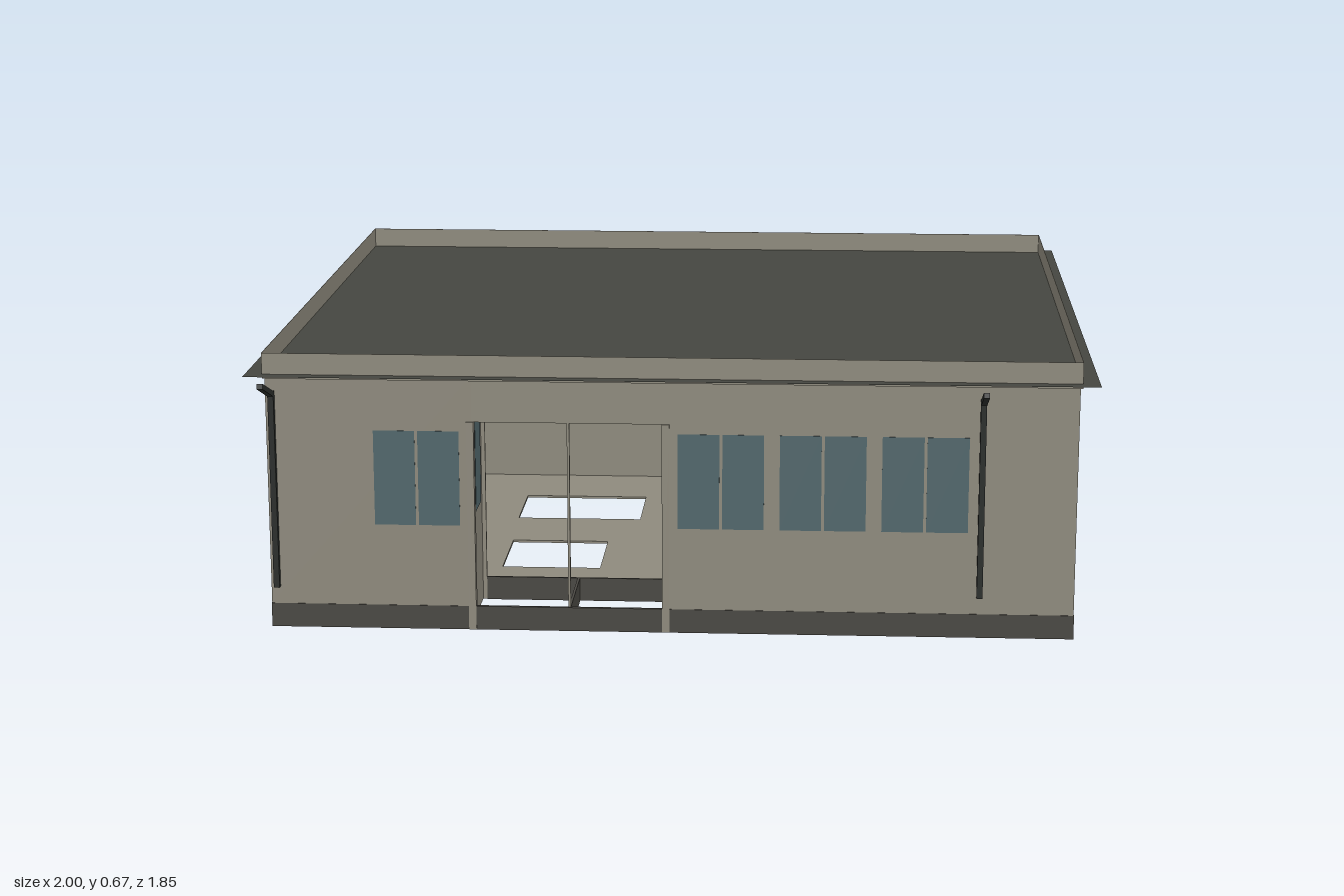
import * as THREE from 'three';

const mat = (name, color) => Object.assign(new THREE.MeshStandardMaterial({ color }), { name });

export function createModel() {
  const model = new THREE.Group();
  model.name = 'building';
  const wall = mat('stone wall', 0x8e8a7d);
  const plinthMat = mat('dark plinth', 0x4a4843);
  const roofMat = mat('slate roof', 0x454640);
  const glass = mat('window glass', 0x52676c);
  const metal = mat('dark metal', 0x2b2e2c);
  roofMat.side = THREE.DoubleSide;

  // box given by its limits
  const box = (name, m, x0, x1, y0, y1, z0, z1, parent = model) => {
    const mesh = new THREE.Mesh(new THREE.BoxGeometry(x1 - x0, y1 - y0, z1 - z0), m);
    mesh.position.set((x0 + x1) / 2, (y0 + y1) / 2, (z0 + z1) / 2);
    mesh.name = name;
    parent.add(mesh);
    return mesh;
  };

  const X = 0.955, ZF = 0.792, ZB = -0.885, T = 0.006;
  const BASE = 0.058, TOP = 0.62;
  const DOOR = [-0.467, -0.015], DOOR_TOP = 0.51;
  const xGroups = [-0.6, -0.36, -0.12, 0.12, 0.36, 0.6];
  const zGroups = [-0.525, -0.284, -0.043, 0.198, 0.437];

  // wall across x, optionally with the entrance cut out
  const wallX = (name, x0, x1, z, y0, door) => {
    if (!door) return box(name, wall, x0, x1, y0, TOP, z - T / 2, z + T / 2);
    box(name, wall, x0, DOOR[0], y0, TOP, z - T / 2, z + T / 2);
    box(name, wall, DOOR[1], x1, y0, TOP, z - T / 2, z + T / 2);
    box(name + 'Lintel', wall, DOOR[0], DOOR[1], DOOR_TOP, TOP, z - T / 2, z + T / 2);
  };
  const wallZ = (name, x, y0, z0, z1) => box(name, wall, x - T / 2, x + T / 2, y0, TOP, z0, z1);

  // pair of panes, visible from both sides of its wall
  const panes = (c, at, alongX) => {
    for (const s of [-1, 1]) {
      const m = c + s * 0.0525, h = 0.049, d = 0.0038;
      if (alongX) box('window', glass, m - h, m + h, 0.257, 0.487, at - d, at + d);
      else box('window', glass, at - d, at + d, 0.257, 0.487, m - h, m + h);
    }
  };

  // outer walls
  wallX('frontWall', -X, X, ZF - T / 2, BASE, true);
  wallX('backWall', -X, X, ZB + T / 2, BASE, false);
  for (const s of [-1, 1]) wallZ('sideWall', s * (X - T / 2), BASE, ZB, ZF);

  // plinth
  const P = 0.001;
  box('plinth', plinthMat, -X - P, X + P, 0, BASE, ZF - 0.008, ZF + P);
  box('plinth', plinthMat, -X - P, X + P, 0, BASE, ZB - P, ZB + 0.008);
  for (const s of [-1, 1]) {
    const x = s * (X - 0.0035);
    box('plinth', plinthMat, x - 0.0045, x + 0.0045, 0, BASE, ZB, ZF);
  }

  // inner walls around the hall
  const IX = 0.705, IF = 0.545, IB = -0.64;
  wallX('innerFrontWall', -X + T, X - T, IF, 0.002, true);
  wallX('innerBackWall', -X + T, X - T, IB, 0.002, false);
  for (const s of [-1, 1]) wallZ('innerSideWall', s * IX, 0.002, ZB + T, ZF - T);

  // partitions between the outer rooms
  for (const x of [-0.48, -0.24, 0, 0.24, 0.48]) {
    wallZ('partition', x, 0.002, ZB + T, IB);
    if (x !== -0.24) wallZ('partition', x, 0.002, IF, ZF - T);
  }
  for (const z of [-0.405, -0.163, 0.078, 0.318]) {
    wallX('partition', IX, X - T, z, 0.002, false);
    wallX('partition', -X + T, -IX, z, 0.002, false);
  }

  // windows
  for (const x of xGroups) {
    const inDoor = x > DOOR[0] && x < DOOR[1];
    if (!inDoor) {
      panes(x, ZF - T / 2, true);
      panes(x, IF, true);
    }
    panes(x, ZB + T / 2, true);
    panes(x, IB, true);
  }
  for (const z of zGroups) for (const s of [-1, 1]) {
    panes(z, s * (X - T / 2), false);
    panes(z, s * IX, false);
  }
  // windows beside the entrance lobby
  for (const x of [-0.48, 0]) panes((IF + ZF) / 2, x, false);

  // thin sills, lintels and mullions of the framed windows
  const ledges = [0.247, 0.496];
  for (const c of [-0.48, 0.48]) {
    for (const y of ledges) box('windowLedge', wall, c - 0.235, c + 0.235, y, y + 0.001, ZB - 0.01, ZB);
    for (const d of [-0.12, 0])
      box('mullion', metal, c + d - 0.001, c + d + 0.001, 0.257, 0.487, ZB - 0.004, ZB);
  }
  for (const s of [-1, 1]) {
    const c = zGroups[2], x = s * (X + 0.0025);
    for (const y of ledges) box('windowLedge', wall, x - 0.0025, x + 0.0025, y, y + 0.001, c - 0.11, c + 0.11);
    box('mullion', metal, x - 0.002, x + 0.002, 0.257, 0.487, c - 0.001, c + 0.001);
  }

  // entrance posts and lobby floor beams
  for (const x of [-0.472, -0.01]) box('doorPost', wall, x - 0.009, x + 0.009, 0, DOOR_TOP, ZF - 0.02, ZF + 0.002);
  box('middlePost', wall, -0.243, -0.237, BASE, DOOR_TOP, ZF - 0.012, ZF - 0.003);
  box('floorBeam', plinthMat, -0.243, -0.237, 0, BASE, IF, ZF - 0.008);
  box('floorBeam', plinthMat, DOOR[0], DOOR[1], 0, BASE, IF - 0.003, IF + 0.003);

  // hall floor with openings
  const rect = (S, x0, x1, z0, z1) => {
    const s = new S();
    s.moveTo(x0, z0).lineTo(x1, z0).lineTo(x1, z1).lineTo(x0, z1).closePath();
    return s;
  };
  const floorShape = rect(THREE.Shape, -IX, IX, IB, IF);
  floorShape.holes.push(
    rect(THREE.Path, -0.03, 0.47, -0.4, -0.2),
    rect(THREE.Path, -0.47, -0.14, -0.41, -0.18),
    rect(THREE.Path, 0.28, 0.49, 0.04, 0.28),
    rect(THREE.Path, -0.46, -0.21, 0.04, 0.285));
  const floorGeo = new THREE.ExtrudeGeometry(floorShape, { depth: 0.006, bevelEnabled: false });
  floorGeo.rotateX(Math.PI / 2);
  const floor = new THREE.Mesh(floorGeo, wall);
  floor.position.y = 0.006;
  floor.name = 'hallFloor';
  model.add(floor);

  // flat roof sheet with overhang, and a thin parapet standing through it
  const roof = new THREE.Mesh(new THREE.PlaneGeometry(2, 1.756).rotateX(-Math.PI / 2), roofMat);
  roof.position.set(0, 0.621, -0.047);
  roof.name = 'roof';
  model.add(roof);
  const PX = 0.96, PF = 0.798, PB = -0.89, W = 0.001, PY = [0.61, 0.672];
  box('parapet', wall, -PX, PX, ...PY, PF - W, PF);
  box('parapet', wall, -PX, PX, ...PY, PB, PB + W);
  for (const s of [-1, 1]) {
    const x = s * (PX - W / 2);
    box('parapet', wall, x - W / 2, x + W / 2, ...PY, PB + W, PF - W);
  }

  // rain pipes with slanted spouts
  for (const x of [-0.94, 0.732]) {
    const pipe = new THREE.Group();
    pipe.name = 'rainPipe';
    model.add(pipe);
    box('downpipe', metal, x - 0.007, x + 0.007, 0.1, 0.58, ZF, ZF + 0.014, pipe);
    const len = Math.hypot(0.12, 0.045);
    const spout = box('spout', metal, x - 0.007, x + 0.007, 0.591, 0.604, 0.863 - len / 2, 0.863 + len / 2, pipe);
    spout.rotation.x = -Math.atan2(0.045, 0.12);
  }
  return model;
}
